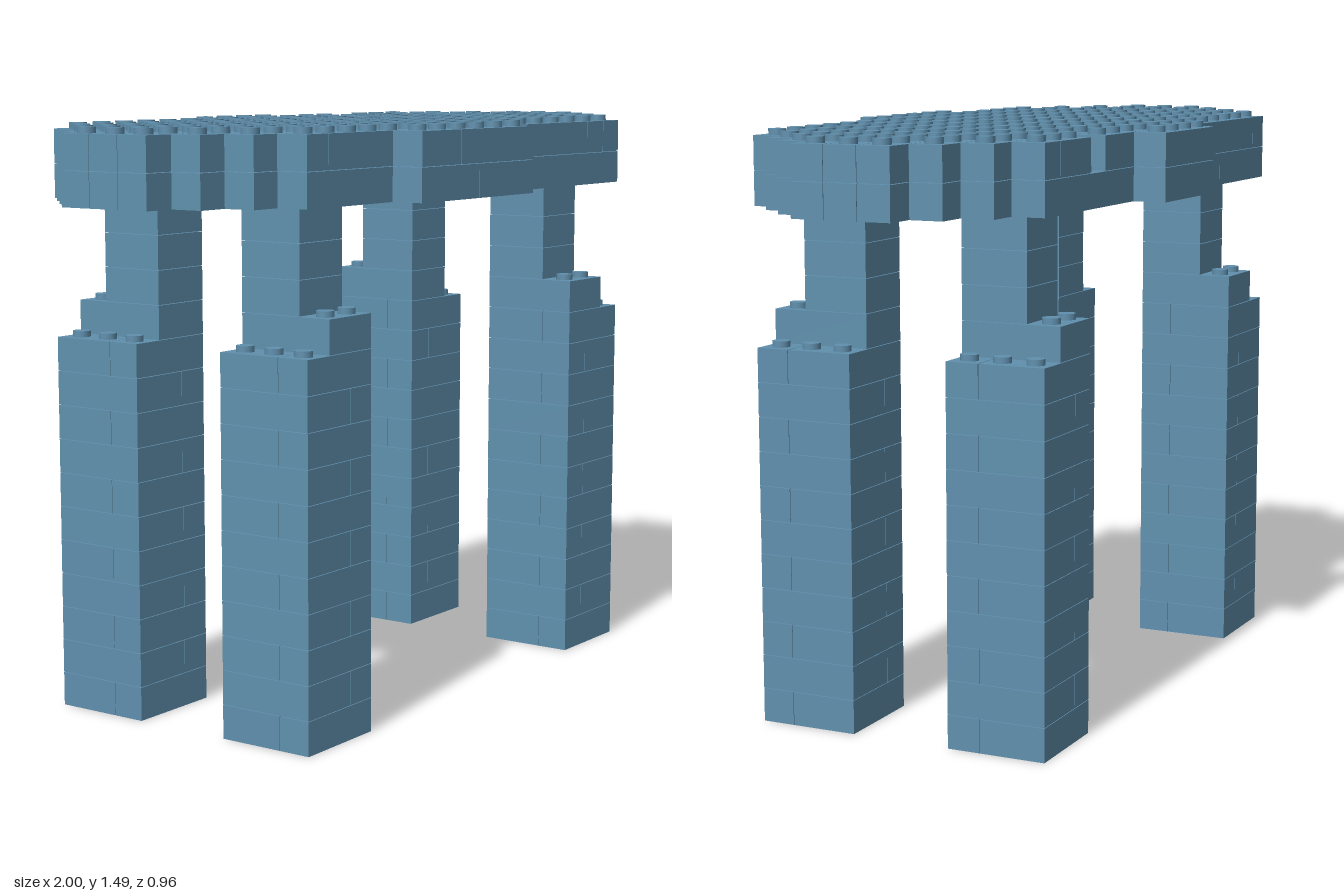
import * as THREE from 'three';
import { mergeGeometries } from 'three/addons/utils/BufferGeometryUtils.js';

const U = 2 / 23;       // one brick cell
const GAP = 0.0015;     // seam between bricks
const STUD_R = 0.0225, STUD_H = 0.0145;

// Brick spanning cell coordinates x0..x1, z0..z1 on the given layer
function brick(x0, x1, z0, z1, layer) {
  const g = new THREE.BoxGeometry((x1 - x0) * U - GAP, U - GAP, (z1 - z0) * U - GAP);
  return g.translate((x0 + x1) / 2 * U, (layer + 0.5) * U, (z0 + z1) / 2 * U);
}

// Stud standing on the top of the given layer
function stud(x, z, layer) {
  const g = new THREE.CylinderGeometry(STUD_R, STUD_R, STUD_H + GAP, 16);
  return g.translate(x * U, (layer + 1) * U + (STUD_H - GAP) / 2, z * U);
}

export function createModel() {
  const group = new THREE.Group();
  const blue = new THREE.MeshStandardMaterial({ color: 0x6090ae });
  blue.name = 'sandBlue';

  const add = (name, geometries, parent) => {
    const mesh = new THREE.Mesh(mergeGeometries(geometries), blue);
    mesh.name = name;
    parent.add(mesh);
  };

  // Legs: alternating courses, stepping in twice towards the top
  for (const sx of [-1, 1]) for (const sz of [-1, 1]) {
    const leg = new THREE.Group();
    leg.name = (sz > 0 ? 'front' : 'back') + (sx > 0 ? 'Left' : 'Right') + 'Leg';
    const bricks = [];
    const put = (x0, x1, z0, z1, layer) => bricks.push(brick(
      Math.min(sx * x0, sx * x1), Math.max(sx * x0, sx * x1),
      Math.min(sz * z0, sz * z1), Math.max(sz * z0, sz * z1), layer));
    for (let layer = 0; layer < 11; layer++) {
      if (layer % 2) {
        put(5.5, 6.5, 1.5, 4.5, layer);
        put(6.5, 8.5, 1.5, 4.5, layer);
      } else {
        const split = sz > 0 ? 3.5 : 2.5;
        put(5.5, 8.5, 1.5, split, layer);
        put(5.5, 8.5, split, 4.5, layer);
      }
    }
    put(5.5, 7.5, 1.5, 4.5, 11);
    for (let layer = 12; layer < 15; layer++) put(5.5, 7.5, 1.5, 3.5, layer);
    add('legBricks', bricks, leg);
    const studs = [2, 3, 4].map(z => stud(sx * 8, sz * z, 10));
    for (const x of [6, 7]) studs.push(stud(sx * x, sz * 4, 11));
    add('legStuds', studs, leg);
    group.add(leg);
  }

  // Table top rows: z, start, end, seams of lower layer, seams of upper layer
  const rows = [
    [-5, -1.5, 2.5, [], []],
    [-4, -8.5, 8.5, [-4.5, 1.5], [-7.5, 0.5, 4.5, 5.5, 7.5]],
    [-3, -9.5, 9.5, [-7.5, -1.5, 4.5], [-4.5, 2.5, 7.5]],
    [-2, -10.5, 10.5, [-5.5, 0.5, 6.5], [-4.5, -2.5, 2.5, 5.5]],
    [-1, -11.5, 11.5, [-7.5, -1.5, 4.5], [-4.5, -2.5, 1.5, 2.5, 9.5]],
    [0, -11.5, 11.5, [-9.5, -3.5, 2.5, 8.5], [-4.5, -2.5, 1.5, 2.5, 9.5]],
    [1, -11.5, 11.5, [-7.5, -1.5, 4.5], [-5.5, -4.5, -2.5, 2.5, 5.5, 9.5]],
    [2, -10.5, 10.5, [-5.5, 0.5, 6.5], [-4.5, -2.5, 3.5, 6.5]],
    [3, -9.5, 9.5, [-7.5, -1.5, 4.5], [-2.5, 2.5, 6.5, 7.5]],
    [4, -8.5, 8.5, [-7.5, -2.5, 1.5], [-7.5, -2.5, -1.5, -0.5, 6.5, 7.5]],
    [5, -4.5, 1.5, [-1.5], [-2.5]],
  ];
  const lower = [], upper = [], studs = [];
  const isNotch = (x, z) => z === -4 && x === 5;   // one missing upper brick
  for (const [z, start, end, lowSeams, highSeams] of rows) {
    [[lowSeams, 15, lower], [highSeams, 16, upper]].forEach(([seams, layer, list]) => {
      const cuts = [start, ...seams, end];
      for (let i = 0; i + 1 < cuts.length; i++) {
        if (layer === 16 && isNotch((cuts[i] + cuts[i + 1]) / 2, z)) continue;
        list.push(brick(cuts[i], cuts[i + 1], z - 0.5, z + 0.5, layer));
      }
    });
    for (let x = start + 0.5; x < end; x++) studs.push(stud(x, z, isNotch(x, z) ? 15 : 16));
  }
  const top = new THREE.Group();
  top.name = 'tableTop';
  add('lowerTopBricks', lower, top);
  add('upperTopBricks', upper, top);
  add('topStuds', studs, top);
  group.add(top);

  return group;
}
